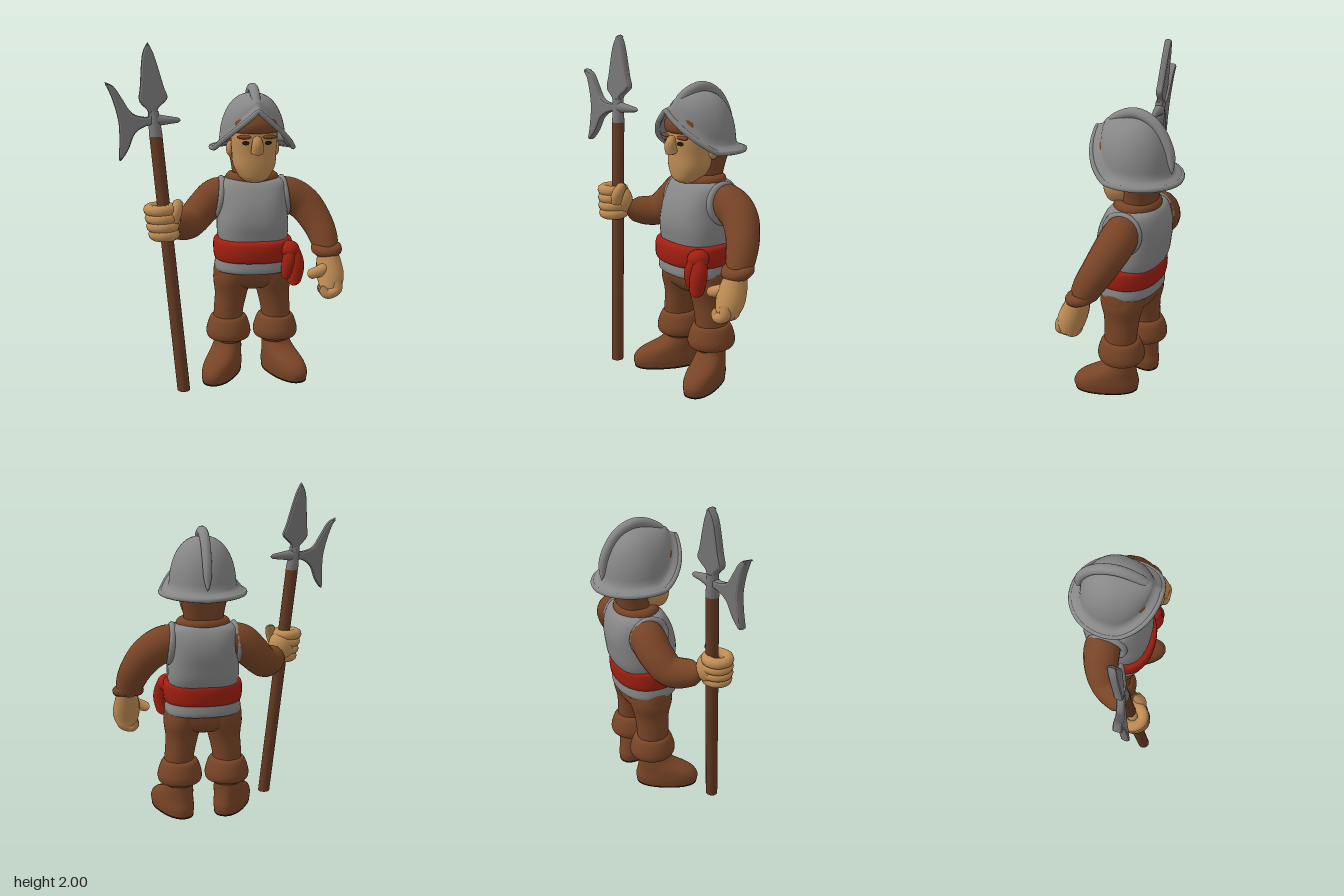
import * as THREE from 'three';

const mat = (name, color) => {
  const m = new THREE.MeshStandardMaterial({ color });
  m.name = name;
  return m;
};
const V = (x, y, z) => new THREE.Vector3(x, y, z);

// Smooth interpolation through a list of numbers, t from 0 to 1
function spline(list, t) {
  const f = t * (list.length - 1), i = Math.min(Math.floor(f), list.length - 2), u = f - i;
  const at = (k) => list[Math.max(0, Math.min(list.length - 1, k))];
  const [a, b, c, d] = [at(i - 1), at(i), at(i + 1), at(i + 2)];
  return b + 0.5 * u * (c - a + u * (2 * a - 5 * b + 4 * c - d + u * (3 * (b - c) + d - a)));
}

// Skin over closed rings of points that run upward
function skinRings(rings, capBottom = true, capTop = true) {
  const n = rings[0].length, pts = rings.flat(), index = [];
  for (let i = 0; i < rings.length - 1; i++) {
    for (let j = 0; j < n; j++) {
      const a = i * n + j, b = i * n + ((j + 1) % n);
      index.push(a, b, a + n, b, b + n, a + n);
    }
  }
  const cap = (ring, start, up) => {
    const c = pts.length;
    pts.push(ring.reduce((s, p) => s.add(p), V(0, 0, 0)).divideScalar(n));
    for (let j = 0; j < n; j++) {
      const a = start + j, b = start + ((j + 1) % n);
      index.push(c, ...(up ? [a, b] : [b, a]));
    }
  };
  if (capBottom) cap(rings[0], 0, false);
  if (capTop) cap(rings[rings.length - 1], (rings.length - 1) * n, true);
  const g = new THREE.BufferGeometry().setFromPoints(pts);
  g.setIndex(index);
  g.computeVertexNormals();
  return g;
}

// Upright loft; each row is [y, centre x, centre z, radius x, radius z]
function loft(rows, e = 2, steps = 5, n = 36) {
  const rings = [], count = (rows.length - 1) * steps;
  const pw = (v) => Math.sign(v) * Math.abs(v) ** (2 / e);
  for (let i = 0; i <= count; i++) {
    const [y, cx, cz, rx, rz] = [0, 1, 2, 3, 4].map((k) => spline(rows.map((r) => r[k]), i / count));
    rings.push(Array.from({ length: n }, (_, j) => {
      const a = (j / n) * Math.PI * 2;
      return V(cx + rx * pw(Math.sin(a)), y, cz + rz * pw(Math.cos(a)));
    }));
  }
  return skinRings(rings);
}

// Round-ended limb along a path with a changing radius
function limb(path, radii) {
  const curve = new THREE.CatmullRomCurve3(path.map((p) => V(...p)));
  const n = 32, sides = 18, g = new THREE.TubeGeometry(curve, n, 1, sides), p = g.attributes.position, v = V(0, 0, 0);
  for (let i = 0; i <= n; i++) {
    const t = i / n, c = curve.getPointAt(t);
    const r = spline(radii, t) * Math.sqrt(Math.min(1, t / 0.12, (1 - t) / 0.12));
    for (let j = 0; j <= sides; j++) {
      const k = i * (sides + 1) + j;
      v.fromBufferAttribute(p, k).sub(c).multiplyScalar(r).add(c);
      p.setXYZ(k, v.x, v.y, v.z);
    }
  }
  return g;
}

const blob = (x, y, z, rx, ry, rz) => new THREE.SphereGeometry(1, 24, 16).scale(rx, ry, rz).translate(x, y, z);

export function createModel() {
  const root = new THREE.Group();
  const leather = mat('brown leather', 0x784426), wood = mat('dark wood', 0x653a22);
  const steel = mat('steel', 0x878787), blade = mat('blade steel', 0x787878);
  const skin = mat('skin', 0xc08d54), red = mat('red cloth', 0xa01f10), dark = mat('dark sole', 0x1e180d);
  steel.side = THREE.DoubleSide;
  const add = (name, geo, m, parent = root) => {
    const mesh = new THREE.Mesh(geo, m);
    mesh.name = name;
    parent.add(mesh);
    return mesh;
  };

  // Legs, boots and turned-down cuffs
  for (const [side, x, out, turn] of [['right', 0.01, -1, -0.5], ['left', 0.3, 1, 0.42]]) {
    add(side + 'Leg', loft([[0.2, x, -0.01, 0.085, 0.09], [0.36, x + 0.003 * out, -0.01, 0.088, 0.1],
      [0.5, x - 0.015 * out, -0.01, 0.098, 0.11], [0.6, x - 0.025 * out, -0.01, 0.118, 0.135], [0.68, x - 0.04 * out, -0.01, 0.12, 0.14]]), leather);
    add(side + 'Cuff', loft([[0.225, x, -0.012, 0.085, 0.09], [0.225, x, -0.012, 0.125, 0.132], [0.27, x, -0.012, 0.135, 0.145],
      [0.345, x, -0.012, 0.112, 0.122], [0.365, x, -0.012, 0.085, 0.095]]), leather);
    const boot = new THREE.Group();
    boot.name = side + 'Boot';
    boot.position.set(x + 0.005 * out, 0, -0.01);
    boot.rotation.y = turn;
    add('bootUpper', loft([[0.006, 0, 0.09, 0.09, 0.193], [0.055, 0, 0.09, 0.095, 0.2], [0.105, 0, 0.075, 0.092, 0.175],
      [0.155, 0, 0.025, 0.086, 0.117], [0.2, 0, 0, 0.08, 0.088], [0.25, 0, 0, 0.08, 0.085]], 2.3), leather, boot);
    add('sole', loft([[0, 0, 0.09, 0.09, 0.193], [0.007, 0, 0.09, 0.092, 0.195]], 2.3, 1), dark, boot);
    root.add(boot);
  }

  // Trunk: trousers, armour skirt, sash, breastplate, collar
  const cx = 0.155;
  add('trousers', loft([[0.55, cx, -0.01, 0.1, 0.1], [0.59, cx, -0.01, 0.22, 0.135], [0.66, cx, -0.005, 0.235, 0.15], [0.76, cx, 0, 0.21, 0.16]], 2.3), leather);
  add('armourSkirt', loft([[0.665, cx, 0, 0.2, 0.15], [0.66, cx, 0, 0.222, 0.175], [0.69, cx, 0, 0.23, 0.185], [0.78, cx, 0, 0.215, 0.175]], 2.3), steel);
  add('sash', loft([[0.73, cx, 0, 0.2, 0.165], [0.735, cx, 0.005, 0.23, 0.195], [0.79, cx, 0.005, 0.238, 0.205],
    [0.845, cx, 0.002, 0.232, 0.2], [0.86, cx, 0, 0.2, 0.165]], 2.3), red);
  add('breastplate', loft([[0.8, cx, -0.005, 0.2, 0.165], [0.88, cx, -0.018, 0.212, 0.19], [0.96, cx, -0.022, 0.212, 0.202],
    [1.05, cx, -0.035, 0.205, 0.2], [1.13, cx, -0.047, 0.205, 0.177], [1.19, cx, -0.052, 0.193, 0.14], [1.215, cx, -0.053, 0.13, 0.09]], 2.6), steel);
  for (const s of [-1, 1]) {
    add('armholeRim', new THREE.TorusGeometry(0.108, 0.02, 10, 32).rotateY(Math.PI / 2).rotateZ(s * 0.12)
      .translate(cx + s * 0.195, 1.09, -0.055), steel);
  }
  add('collar', new THREE.TorusGeometry(0.115, 0.036, 12, 36).rotateX(Math.PI / 2).scale(1.06, 1, 0.88).translate(cx, 1.207, -0.05), leather);

  // Sash knot and hanging ends
  add('sashKnot', blob(0.355, 0.8, 0.14, 0.06, 0.055, 0.065), red);
  add('sashEnd', limb([[0.36, 0.82, 0.15], [0.345, 0.74, 0.18], [0.33, 0.625, 0.165]], [0.035, 0.04, 0.03]), red);
  add('sashEnd', limb([[0.37, 0.82, 0.14], [0.39, 0.72, 0.165], [0.375, 0.585, 0.17]], [0.04, 0.05, 0.038]), red);

  // Sleeves
  add('rightSleeve', limb([[0.04, 1.1, -0.07], [-0.05, 1.095, -0.075], [-0.14, 1.02, -0.06], [-0.22, 0.945, -0.01], [-0.29, 0.945, 0.08], [-0.345, 0.97, 0.15]],
    [0.1, 0.108, 0.102, 0.095, 0.085, 0.06]), leather);
  add('leftSleeve', limb([[0.28, 1.1, -0.06], [0.37, 1.095, -0.065], [0.47, 1.04, -0.06], [0.545, 0.94, -0.02], [0.585, 0.84, 0.03], [0.6, 0.74, 0.07]],
    [0.1, 0.108, 0.104, 0.095, 0.085, 0.07]), leather);
  add('leftSleeveCuff', new THREE.TorusGeometry(0.06, 0.034, 12, 28).rotateX(Math.PI / 2 + 0.25).translate(0.597, 0.782, 0.062), leather);

  // Left hand hanging loosely
  add('leftPalm', limb([[0.6, 0.79, 0.06], [0.605, 0.7, 0.095], [0.61, 0.61, 0.13], [0.6, 0.525, 0.15]], [0.055, 0.075, 0.08, 0.055]), skin);
  add('leftThumb', limb([[0.6, 0.69, 0.13], [0.535, 0.665, 0.155], [0.465, 0.64, 0.15]], [0.035, 0.035, 0.028]), skin);
  for (let i = 0; i < 3; i++) {
    add('leftFinger', limb([[0.63, 0.63, 0.11 + i * 0.035], [0.635, 0.56, 0.12 + i * 0.033], [0.575, 0.535, 0.12 + i * 0.033], [0.55, 0.58, 0.11 + i * 0.033]],
      [0.03, 0.033, 0.032, 0.026]), skin);
  }

  // Leaning pole arm: axis position at a given height
  const ax = (y) => -0.285 - 0.09 * y, az = (y) => 0.265 - 0.088 * y;
  const bendVertices = (g, rule) => {
    const p = g.attributes.position;
    for (let i = 0; i < p.count; i++) p.setXYZ(i, ...rule(p.getX(i), p.getY(i), p.getZ(i)));
    g.computeVertexNormals();
    return g;
  };
  const lean = (x, y, z) => [x + ax(y), y, z + az(y)];
  const pole = (r0, r1, y0, y1) => bendVertices(new THREE.CylinderGeometry(r1, r0, y1 - y0, 20).translate(0, (y0 + y1) / 2, 0), lean);
  add('poleShaft', pole(0.037, 0.037, 0, 1.49), wood);
  add('bladeSocket', pole(0.038, 0.03, 1.48, 1.62), blade);

  // Flat blades, thickest in the middle, turned a little about the pole
  const flatBlade = (points) => {
    const pts = points.map((p) => new THREE.Vector2(...p));
    const shape = new THREE.Shape(new THREE.SplineCurve([...pts, pts[0]]).getPoints(60).slice(0, -1));
    const g = new THREE.ExtrudeGeometry(shape, { depth: 0.016, bevelThickness: 0.016, bevelSize: 0.012, bevelOffset: -0.012, bevelSegments: 2 });
    return bendVertices(g, (x, y, z) => [x, y, z - 0.008 + az(y) - 0.27 * (x - ax(y))]);
  };
  add('spearBlade', flatBlade([[-0.455, 2.0], [-0.487, 1.93], [-0.502, 1.76], [-0.508, 1.68], [-0.46, 1.62], [-0.455, 1.56],
    [-0.4, 1.56], [-0.405, 1.63], [-0.35, 1.69], [-0.37, 1.76], [-0.42, 1.93]]), blade);
  add('axeBlade', flatBlade([[-0.695, 1.787], [-0.655, 1.69], [-0.625, 1.57], [-0.622, 1.46], [-0.624, 1.355], [-0.575, 1.41],
    [-0.535, 1.5], [-0.47, 1.54], [-0.41, 1.545], [-0.41, 1.595], [-0.48, 1.59], [-0.55, 1.615], [-0.6, 1.69], [-0.645, 1.76]]), blade);
  add('backSpike', limb([[-0.43, 1.57, 0.125], [-0.35, 1.568, 0.11], [-0.275, 1.565, 0.09]], [0.036, 0.024, 0.014]), blade);

  // Right fist closed round the pole
  add('rightPalm', blob(-0.365, 1.0, 0.165, 0.08, 0.095, 0.075), skin);
  for (let i = 0; i < 4; i++) {
    const y = 0.93 + i * 0.047;
    add('rightFinger', new THREE.TorusGeometry(0.058 + (i > 0) * 0.004, 0.033, 10, 24).rotateX(Math.PI / 2)
      .translate(ax(y) - 0.014 - i * 0.003, y, az(y) + 0.022), skin);
  }
  add('rightThumb', limb([[-0.34, 0.99, 0.22], [-0.315, 1.06, 0.22], [-0.295, 1.125, 0.185]], [0.035, 0.035, 0.028]), skin);

  // Head
  add('face', loft([[1.2, cx, 0.06, 0.05, 0.05], [1.225, cx, 0.055, 0.085, 0.085], [1.29, cx, 0.04, 0.122, 0.112],
    [1.37, cx, 0.03, 0.13, 0.125], [1.45, cx, 0.03, 0.135, 0.133], [1.56, cx, 0.02, 0.135, 0.14]], 2.3), skin);
  add('hair', loft([[1.18, cx, -0.06, 0.11, 0.09], [1.28, cx, -0.075, 0.122, 0.1], [1.38, cx, -0.085, 0.142, 0.115],
    [1.46, cx, -0.075, 0.15, 0.135], [1.58, cx, -0.05, 0.14, 0.14]], 2.2), leather);
  add('fringe', loft([[1.485, cx, 0.01, 0.135, 0.14], [1.5, cx, 0.01, 0.148, 0.165], [1.55, cx, 0, 0.15, 0.178], [1.62, cx, -0.02, 0.13, 0.16]], 2.2), leather);
  add('nose', limb([[cx, 1.475, 0.155], [cx, 1.43, 0.178], [cx, 1.37, 0.165]], [0.022, 0.034, 0.036]), skin);
  for (const s of [-1, 1]) {
    add('ear', blob(cx + s * 0.137, 1.385, -0.02, 0.022, 0.045, 0.03), skin);
    add('eye', new THREE.CircleGeometry(0.022, 20).scale(1, 0.55, 1).rotateY(s * 0.35).translate(cx + s * 0.065, 1.437, 0.161), dark);
    add('eyebrow', blob(cx + s * 0.07, 1.47, 0.15, 0.045, 0.012, 0.018), leather);
  }

  // Helmet: brim peaked at the front, dome and crest
  const helmet = new THREE.Group();
  helmet.name = 'helmet';
  root.add(helmet);
  const n = 64;
  const rimHeight = (a) => 1.405 - 0.03 * (a / Math.PI) + 0.215 * Math.max(0, 1 - a / 1.3) ** 1.2;
  const ring = (scale, height) => Array.from({ length: n }, (_, j) => {
    const a = (j / n) * Math.PI * 2, y = rimHeight(Math.min(a, Math.PI * 2 - a));
    return V(cx + 0.25 * scale * Math.sin(a), height(y), -0.045 + 0.262 * scale * Math.cos(a));
  });
  const rings = [ring(0.76, (y) => y + 0.03), ring(0.97, (y) => y - 0.014), ring(1, (y) => y), ring(0.97, (y) => y + 0.014),
    ring(0.86, (y) => y + 0.022), ring(0.79, (y) => y + 0.04)];
  for (let i = 1; i <= 14; i++) {
    const t = (i / 14) * Math.PI * 0.497;
    rings.push(ring(0.78 * Math.cos(t) ** 0.85, (y) => y + 0.04 + (1.71 - y - 0.04) * Math.sin(t)));
  }
  add('brimAndDome', skinRings(rings, false, true), steel, helmet);
  const rim = new THREE.CatmullRomCurve3(ring(0.975, (y) => y), true);
  add('rolledRim', new THREE.TubeGeometry(rim, 128, 0.015, 8, true), steel, helmet);
  add('crest', limb([[cx, 1.62, 0.165], [cx, 1.69, 0.09], [cx, 1.735, -0.04], [cx, 1.69, -0.16], [cx, 1.56, -0.245], [cx, 1.42, -0.265]],
    [0.022, 0.028, 0.03, 0.028, 0.026, 0.02]), steel, helmet);
  return root;
}
